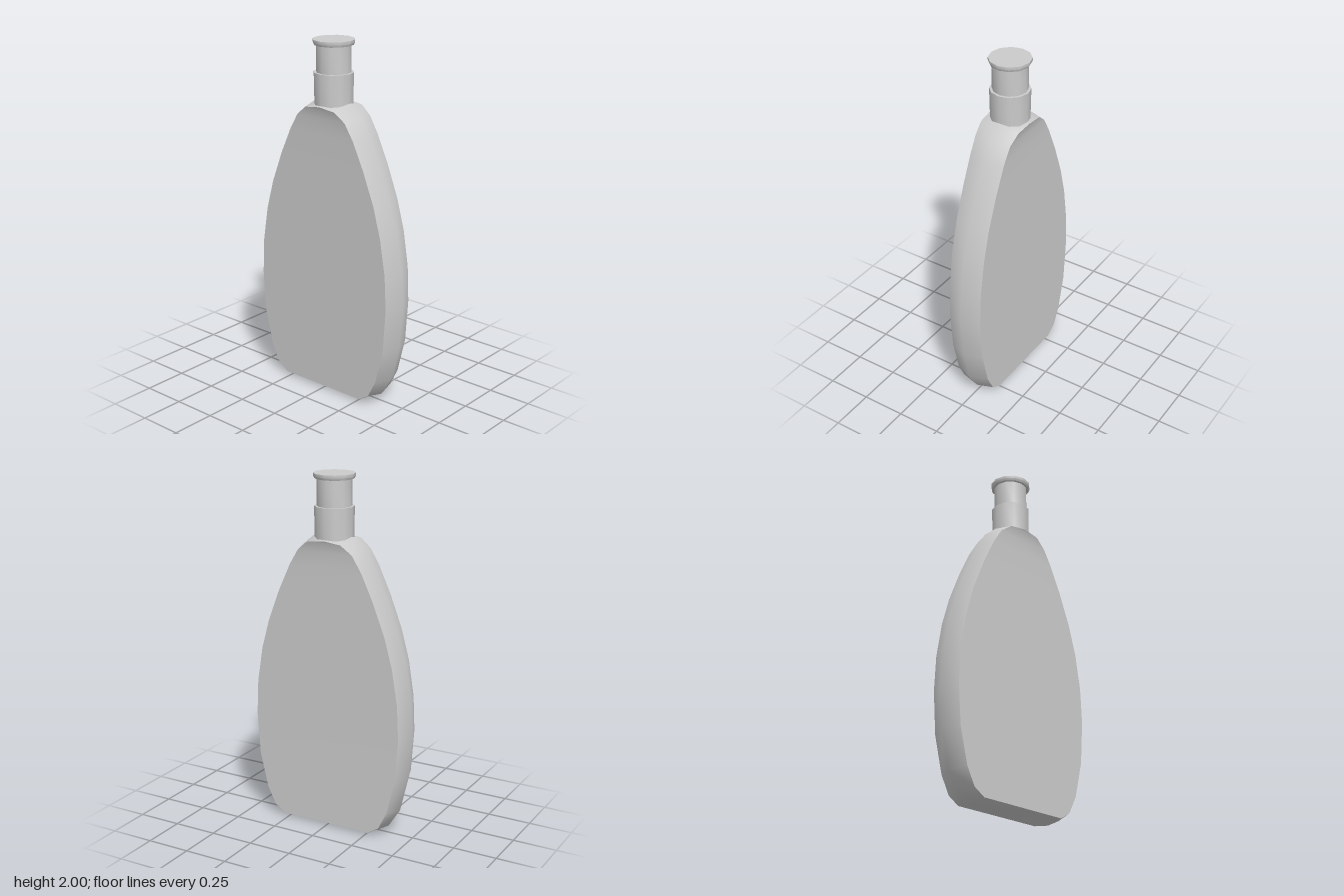
import * as THREE from 'three';
import { toCreasedNormals } from 'three/addons/utils/BufferGeometryUtils.js';

const material = new THREE.MeshStandardMaterial({ color: 0xcccccc });

// Half outlines from the base up: rim ridge [z, y] and flat side panel [z, y, half thickness]
const RIDGE = [[0.27, 0], [0.35, 0.04], [0.42, 0.15], [0.47, 0.36], [0.49, 0.6], [0.477, 0.8], [0.442, 1.0],
  [0.387, 1.18], [0.32, 1.35], [0.25, 1.5], [0.19, 1.6], [0.115, 1.665], [0, 1.675]];
const PANEL = [[0.27, 0.018, 0.1], [0.335, 0.06, 0.1], [0.385, 0.16, 0.1], [0.433, 0.36, 0.1], [0.45, 0.6, 0.1],
  [0.44, 0.8, 0.101], [0.407, 1.0, 0.102], [0.36, 1.17, 0.102], [0.29, 1.35, 0.103], [0.22, 1.5, 0.104],
  [0.165, 1.59, 0.107], [0.1, 1.64, 0.116], [0, 1.653, 0.122]];

// Mirrors a half outline front to back into a closed ring of points
function ring(half, side) {
  const front = half.map(([z, y, w = 0]) => new THREE.Vector3(w * side, y, z));
  const back = front.slice(0, -1).reverse().map((p) => new THREE.Vector3(p.x, p.y, -p.z));
  return [...front, ...back];
}

function bodyGeometry() {
  const pos = [];
  for (const side of [1, -1]) {
    const tri = (a, b, c) => (side > 0 ? [a, b, c] : [a, c, b]).forEach((p) => pos.push(p.x, p.y, p.z));
    const quad = (a, b, c, d) => { tri(a, b, c); tri(a, c, d); };
    const mid = ring(RIDGE, side), face = ring(PANEL, side), n = mid.length;
    // bevelled rim
    for (let i = 0; i < n; i++) {
      const j = (i + 1) % n;
      quad(mid[i], face[i], face[j], mid[j]);
    }
    // side panel, in strips from front to back
    const top = PANEL.length - 1;
    for (let i = 0; i < top - 1; i++) quad(face[i], face[n - 1 - i], face[n - 2 - i], face[i + 1]);
    tri(face[top - 1], face[n - top], face[top]);
  }
  const g = new THREE.BufferGeometry();
  g.setAttribute('position', new THREE.Float32BufferAttribute(pos, 3));
  return toCreasedNormals(g, 0.9);
}

// Twelve-sided turned part from [radius, y] points
function turned(name, points) {
  const g = new THREE.LatheGeometry(points.map(([r, y]) => new THREE.Vector2(r, y)), 12);
  const mesh = new THREE.Mesh(toCreasedNormals(g, 0.65), material);
  mesh.name = name;
  return mesh;
}

export function createModel() {
  const model = new THREE.Group();
  model.name = 'bottle';
  const body = new THREE.Mesh(bodyGeometry(), material);
  body.name = 'body';
  model.add(body);
  model.add(turned('neckCollar', [[0, 1.64], [0.106, 1.64], [0.106, 1.67], [0.109, 1.825], [0, 1.825]]));
  model.add(turned('neck', [[0.095, 1.82], [0.095, 1.975]]));
  model.add(turned('cap', [[0, 1.972], [0.108, 1.972], [0.114, 1.985], [0.114, 2], [0, 2]]));
  return model;
}
